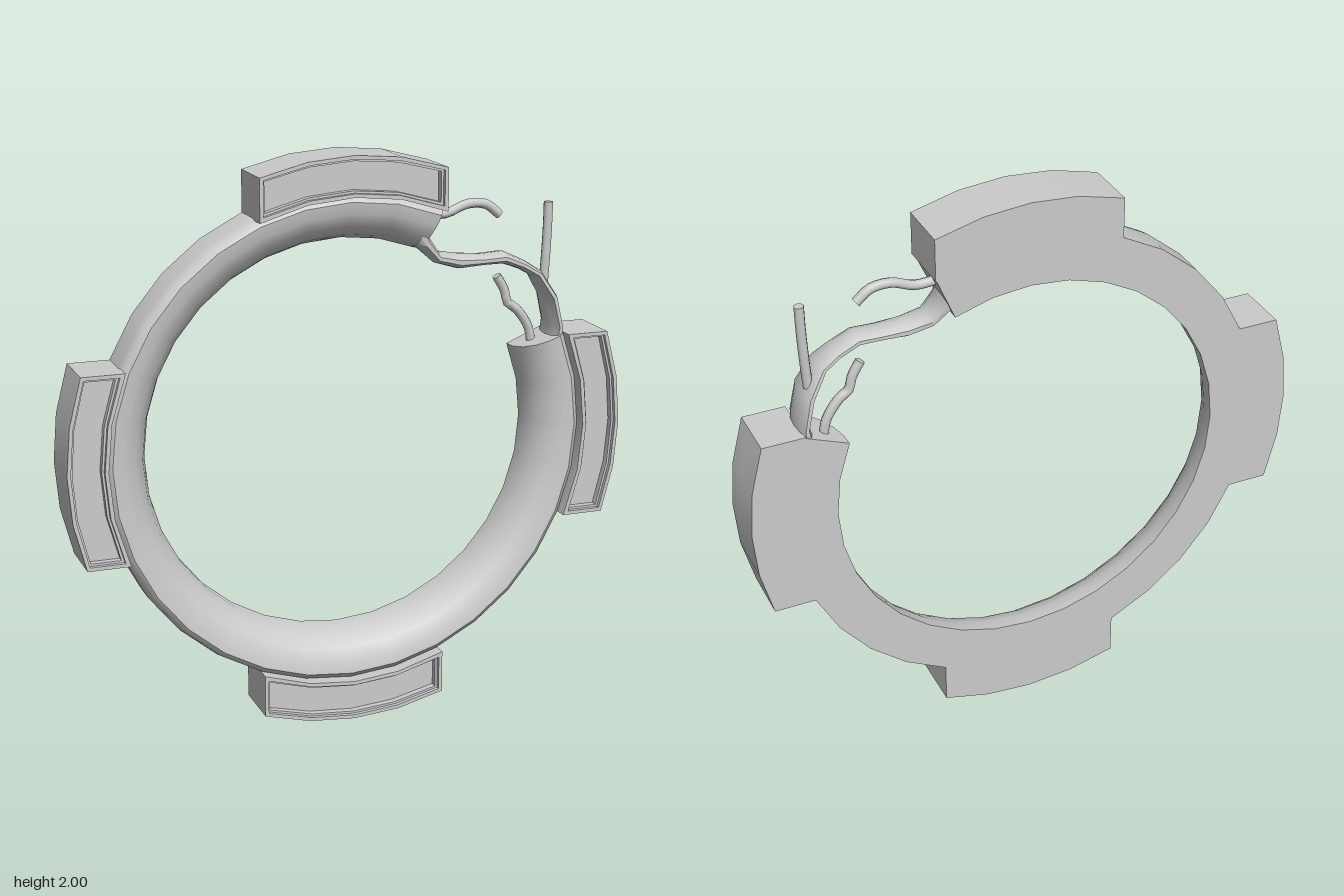
import * as THREE from 'three';
import { toCreasedNormals } from 'three/addons/utils/BufferGeometryUtils.js';

const material = new THREE.MeshStandardMaterial({ color: 0xcccccc });
const thin = new THREE.MeshStandardMaterial({ color: 0xcccccc, side: THREE.DoubleSide });
const BACK = -0.1;
const CUT_START = Math.PI * 22.5 / 180, CUT_END = Math.PI * 67.5 / 180;

function add(parent, name, geometry, mat = material) {
  const mesh = new THREE.Mesh(geometry, mat);
  mesh.name = name;
  parent.add(mesh);
  return mesh;
}

// Broken ring: D-shaped section with a flat back, swept around z
function makeRing() {
  const ring = new THREE.Group();
  ring.name = 'ring';
  const profile = [
    [0.70, BACK], [0.865, BACK], [0.866, 0.02], [0.858, 0.055], [0.84, 0.07],
    [0.80, 0.064], [0.755, 0.042], [0.72, 0.0], [0.702, -0.05], [0.70, BACK],
  ].map(p => new THREE.Vector2(...p));
  const sweep = new THREE.LatheGeometry(profile, 28, CUT_END + Math.PI / 2, Math.PI * 2 - (CUT_END - CUT_START));
  sweep.rotateX(Math.PI / 2);
  add(ring, 'ringBody', toCreasedNormals(sweep, 0.75));
  for (const angle of [CUT_START, CUT_END]) {
    const cap = new THREE.ShapeGeometry(new THREE.Shape(profile.slice(0, -1)));
    cap.rotateX(Math.PI / 2);
    cap.scale(1, 1, 1);
    cap.rotateZ(angle);
    add(ring, 'brokenEnd', cap, thin);
  }
  return ring;
}

// Outline of a lug, shrunk evenly by an inset
function lugOutline(inset, Type = THREE.Shape) {
  const half = 0.332 - inset, outer = 1.0 - inset, inner = 0.86 + inset;
  const points = [];
  const arc = (r, dir) => {
    for (let i = -2; i <= 2; i++) {
      const x = dir * half * i / 2;
      points.push(new THREE.Vector2(x, Math.sqrt(r * r - x * x)));
    }
  };
  arc(outer, -1);
  arc(inner, 1);
  return new Type(points);
}

function slab(shape, z0, z1) {
  const g = new THREE.ExtrudeGeometry(shape, { depth: z1 - z0, bevelEnabled: false });
  g.translate(0, 0, z0);
  return toCreasedNormals(g, 0.5);
}

// Lug: solid block with a stepped frame around a shallow front recess
function makeLug(angle) {
  const lug = new THREE.Group();
  lug.name = 'lug';
  add(lug, 'lugBody', slab(lugOutline(0), BACK, 0.06));
  const rim = lugOutline(0);
  rim.holes.push(lugOutline(0.013, THREE.Path));
  add(lug, 'lugRim', slab(rim, 0.06, 0.1));
  const step = lugOutline(0.013);
  step.holes.push(lugOutline(0.021, THREE.Path));
  add(lug, 'lugRimStep', slab(step, 0.06, 0.085));
  lug.rotation.z = angle;
  return lug;
}

// Torn strip bridging the gap, lofted through: outer x, y, inner x, y, back z, front z
function makeStrip() {
  const sections = [
    [0.29, 0.77, 0.25, 0.66, -0.10, 0.04],
    [0.30, 0.70, 0.27, 0.65, -0.09, 0.04],
    [0.335, 0.64, 0.325, 0.60, -0.07, 0.045],
    [0.41, 0.628, 0.41, 0.575, -0.06, 0.045],
    [0.50, 0.62, 0.50, 0.582, -0.055, 0.045],
    [0.58, 0.625, 0.575, 0.582, -0.055, 0.045],
    [0.66, 0.588, 0.64, 0.558, -0.06, 0.045],
    [0.72, 0.55, 0.69, 0.53, -0.07, 0.05],
    [0.78, 0.46, 0.74, 0.45, -0.095, 0.062],
    [0.803, 0.35, 0.765, 0.35, -0.10, 0.065],
    [0.808, 0.29, 0.75, 0.29, -0.10, 0.06],
  ];
  const sides = 10, positions = [], index = [];
  sections.forEach(([ox, oy, ix, iy, z0, z1], s) => {
    for (let j = 0; j < sides; j++) {
      const a = j / sides * Math.PI * 2, c = Math.cos(a) / 2;
      positions.push((ox + ix) / 2 + (ox - ix) * c, (oy + iy) / 2 + (oy - iy) * c,
        (z0 + z1) / 2 + (z1 - z0) / 2 * Math.sin(a));
      if (s === sections.length - 1) continue;
      const p = s * sides + j, q = s * sides + (j + 1) % sides;
      index.push(p, q, p + sides, q, q + sides, p + sides);
    }
  });
  const g = new THREE.BufferGeometry();
  g.setAttribute('position', new THREE.Float32BufferAttribute(positions, 3));
  g.setIndex(index);
  return toCreasedNormals(g, 0.9);
}

// Loose wire: thin tube with flat ends
function makeWire(points) {
  const wire = new THREE.Group();
  wire.name = 'wire';
  const curve = new THREE.CatmullRomCurve3(points.map(([x, y]) => new THREE.Vector3(x, y, -0.038)));
  add(wire, 'wireTube', new THREE.TubeGeometry(curve, 14, 0.017, 8));
  for (const t of [0, 1]) {
    const cap = add(wire, 'wireEnd', new THREE.CircleGeometry(0.017, 8), thin);
    const point = curve.getPoint(t);
    cap.position.copy(point);
    cap.quaternion.setFromUnitVectors(new THREE.Vector3(0, 0, 1), curve.getTangent(t));
  }
  return wire;
}

export function createModel() {
  const model = new THREE.Group();
  model.name = 'brokenRing';
  const body = new THREE.Group();
  body.name = 'body';
  body.position.y = 1;
  model.add(body);

  body.add(makeRing());
  for (let i = 0; i < 4; i++) body.add(makeLug(i * Math.PI / 2));
  add(body, 'tornStrip', makeStrip(), thin);

  // Wires sticking out of the broken ends and the strip
  body.add(makeWire([[0.29, 0.765], [0.38, 0.762], [0.46, 0.79], [0.53, 0.785], [0.58, 0.747]]));
  body.add(makeWire([[0.755, 0.48], [0.762, 0.60], [0.766, 0.70], [0.767, 0.78]]));
  body.add(makeWire([[0.715, 0.27], [0.70, 0.34], [0.65, 0.41], [0.62, 0.43], [0.605, 0.48], [0.575, 0.53]]));
  return model;
}
